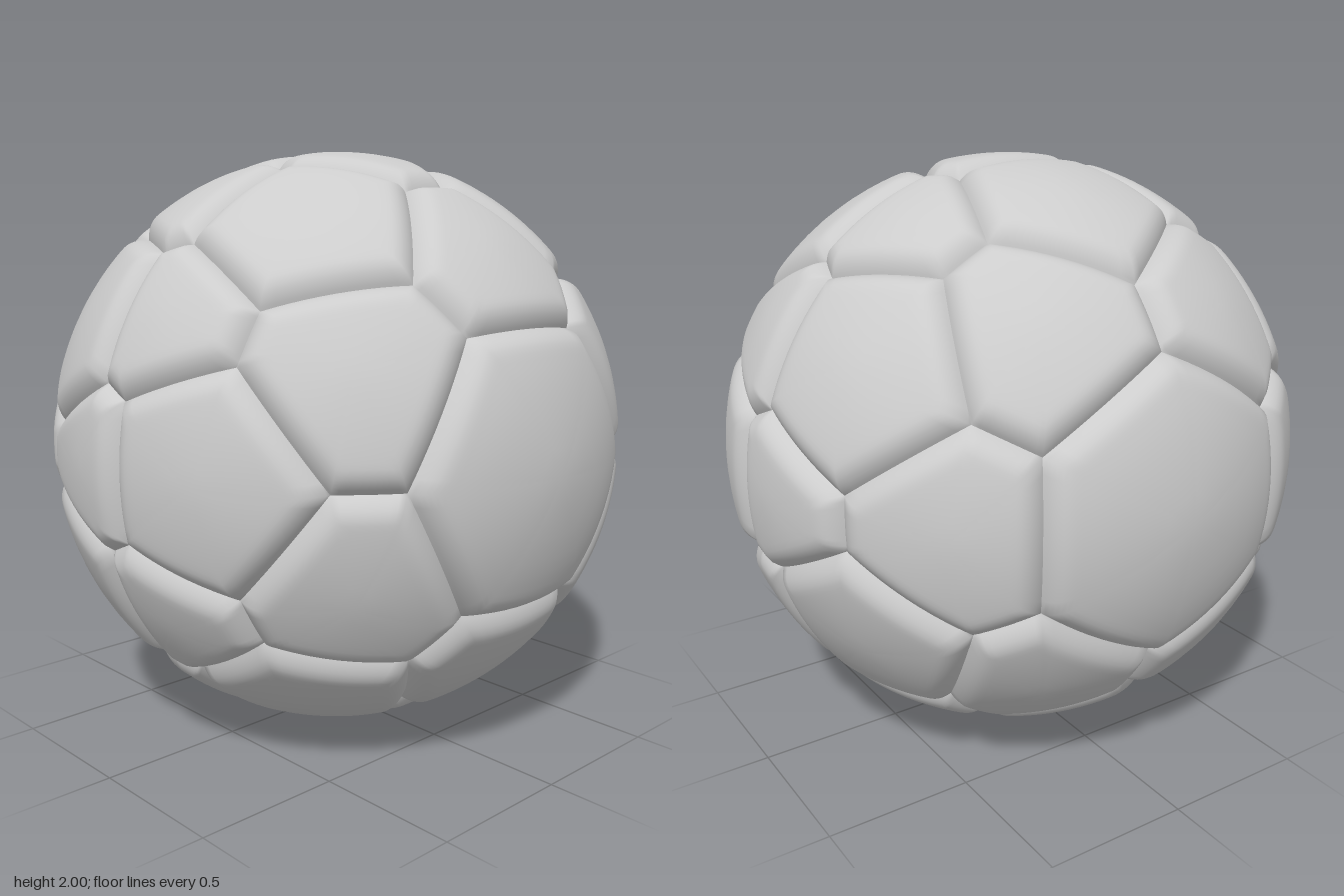
import * as THREE from 'three';
import { mergeVertices } from 'three/addons/utils/BufferGeometryUtils.js';

const GROOVE = 0.955;  // radius at the bottom of the seams
const BEVEL = 0.09;    // width of the rounded panel edge
const ACROSS = 10;     // divisions along each panel side
const LEVELS = [0, 0.2, 0.4, 0.56, 0.66, 0.72, 0.77, 0.81, 0.85, 0.885, 0.92, 0.95, 0.975, 1];

// Direction from polar angle (off +z) and azimuth (from +x), in degrees
function dir(polar, azimuth) {
  const p = THREE.MathUtils.degToRad(polar), a = THREE.MathUtils.degToRad(azimuth);
  return new THREE.Vector3(Math.sin(p) * Math.cos(a), Math.sin(p) * Math.sin(a), Math.cos(p));
}

// The four rings of seam corners, and the first ring of the other half
const A = (az) => dir(30.9, az);
const B = (az) => dir(44.2, az);
const C = (az) => dir(64, az);
const D = (az) => dir(86.7, az);
const E = (az) => dir(93.3, az);

// Cushioned spherical panel; corners run anticlockwise seen from outside
function panelGeometry(corners) {
  const n = corners.length;
  const centre = corners.reduce((sum, c) => sum.add(c), new THREE.Vector3()).normalize();
  const sides = corners.map((c, i) => c.clone().cross(corners[(i + 1) % n]).normalize());
  const positions = [], index = [];
  for (let i = 0; i < n; i++) {
    const start = positions.length / 3;
    for (const t of LEVELS) {
      for (let j = 0; j <= ACROSS; j++) {
        const edge = corners[i].clone().lerp(corners[(i + 1) % n], j / ACROSS);
        const p = centre.clone().lerp(edge, t).normalize();
        const distance = Math.min(...sides.map((s) => Math.asin(s.dot(p))));
        const k = THREE.MathUtils.clamp(distance / BEVEL, 0, 1);
        p.multiplyScalar(GROOVE + (1 - GROOVE) * (1 - Math.pow(1 - k, 2.3)));
        positions.push(p.x, p.y, p.z);
      }
    }
    const row = ACROSS + 1;
    for (let l = 0; l < LEVELS.length - 1; l++) {
      for (let j = 0; j < ACROSS; j++) {
        const a = start + l * row + j, b = a + row;
        index.push(a, b, b + 1);
        if (l > 0) index.push(a, b + 1, a + 1);
      }
    }
  }
  let geometry = new THREE.BufferGeometry();
  geometry.setAttribute('position', new THREE.Float32BufferAttribute(positions, 3));
  geometry.setIndex(index);
  geometry = mergeVertices(geometry, 1e-5);
  geometry.computeVertexNormals();
  return geometry;
}

export function createModel() {
  const model = new THREE.Group();
  model.name = 'panelledBall';
  const grey = new THREE.MeshStandardMaterial({ color: 0xcccccc });
  grey.name = 'light grey';

  // Panels of the front half, ring by ring
  const panels = [['capPanel', [0, 60, 120, 180, 240, 300].map(A)]];
  for (let k = 0; k < 6; k++) {
    const f = 60 * k, h = f + 30;
    panels.push(['innerPanel', [B(h - 30), C(h - 6), C(h + 6), B(h + 30), A(h + 30), A(h - 30)]]);
    panels.push(['fivePanel', [B(f), C(f - 24), D(f - 13.6), D(f + 13.6), C(f + 24)]]);
    panels.push(['middlePanel',
      [C(h - 6), D(h - 16.4), E(h - 13.6), E(h + 13.6), D(h + 16.4), C(h + 6)]]);
  }

  const front = new THREE.Group();
  front.name = 'frontHalf';
  for (const [name, corners] of panels) {
    const mesh = new THREE.Mesh(panelGeometry(corners), grey);
    mesh.name = name;
    front.add(mesh);
  }

  // The back half is the front half turned over, one twelfth of a turn out of step
  const back = front.clone();
  back.name = 'backHalf';
  back.quaternion.setFromAxisAngle(dir(90, 15), Math.PI);

  front.position.y = back.position.y = 1;
  model.add(front, back);
  return model;
}
